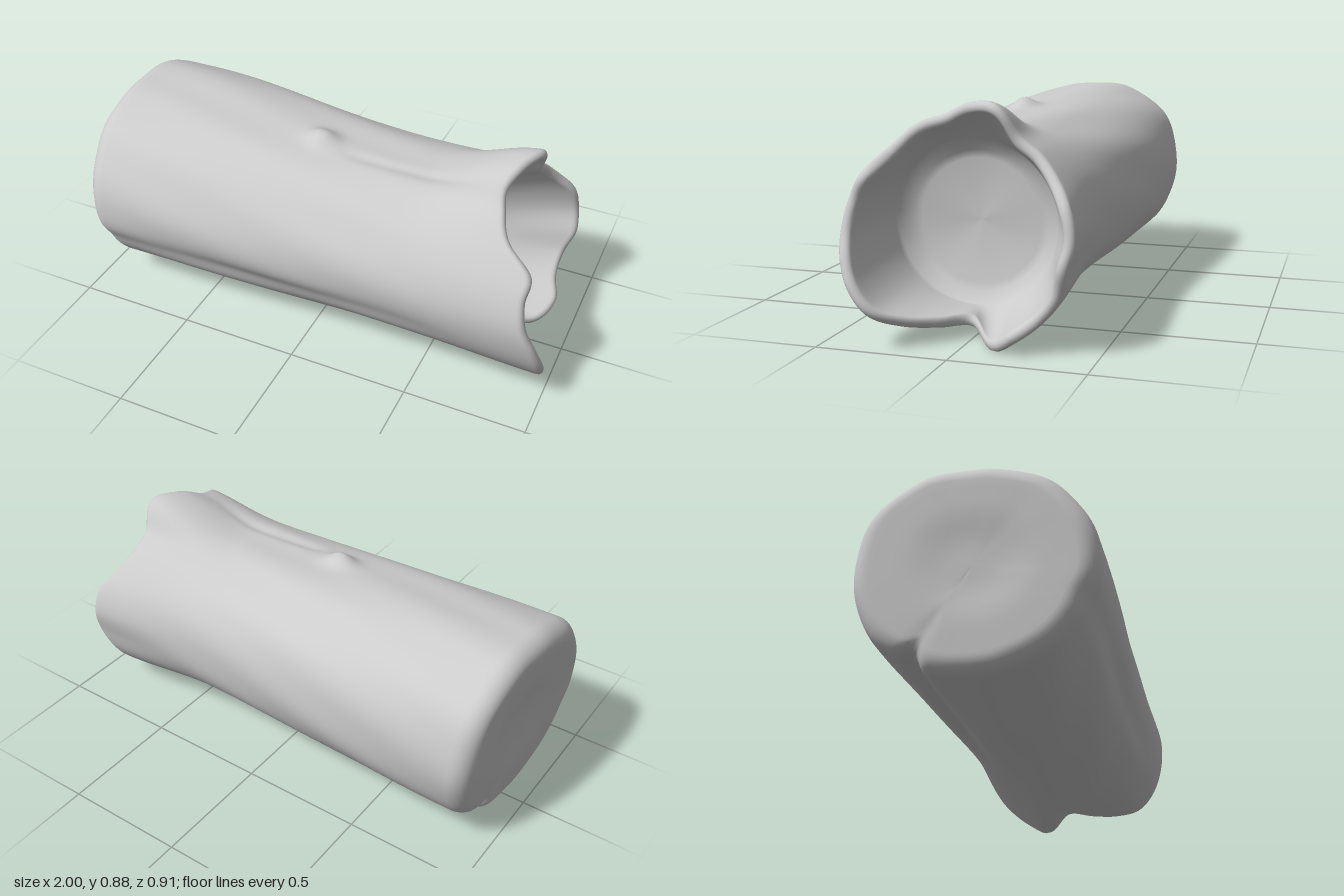
import * as THREE from 'three';

const SEG = 160;        // steps around the log
const AXIS_Y = 0.42;    // height of the log's axis

// Smooth closed curve through values spaced evenly around the log
// (angle 0 = front, quarter = top, half = back, three quarters = bottom)
function around(values) {
  const n = values.length;
  return (a) => {
    const f = (a / (Math.PI * 2)) * n, i = Math.floor(f), t = f - i;
    const [p, q, r, s] = [-1, 0, 1, 2].map((k) => values[(i + k + n) % n]);
    return q + 0.5 * t * (r - p + t * (2 * p - 5 * q + 4 * r - s + t * (3 * (q - r) + s - p)));
  };
}

// Radii of the thick closed end, the waist and the broken rim
const baseRadius = around([0.445, 0.425, 0.405, 0.395, 0.44, 0.47, 0.46, 0.44, 0.41, 0.405, 0.415, 0.44]);
const waistRadius = around([0.425, 0.40, 0.37, 0.345, 0.365, 0.39, 0.40, 0.40, 0.385, 0.385, 0.395, 0.42]);
const rimRadius = around([0.43, 0.42, 0.41, 0.41, 0.42, 0.415, 0.447, 0.46, 0.39, 0.39, 0.40, 0.42,
  0.43, 0.42, 0.43, 0.43, 0.43, 0.44, 0.38, 0.38, 0.40, 0.425, 0.43, 0.43]);

// How far the ragged rim reaches along x
const rimX = around([0.93, 0.91, 0.91, 0.80, 0.755, 0.73, 0.765, 0.81, 0.785, 0.79, 0.83, 0.89,
  0.91, 0.92, 0.885, 0.88, 0.91, 0.86, 0.74, 0.83, 0.92, 0.99, 1.0, 0.975]);

const { lerp, smoothstep } = THREE.MathUtils;
const bell = (d, width) => Math.exp(-((d / width) ** 2));

// Bark radius, with long grooves and a small knot on top
function barkRadius(x, a) {
  let r = lerp(baseRadius(a), waistRadius(a), smoothstep(x, -0.8, 0.35));
  r = lerp(r, rimRadius(a), smoothstep(x, 0.38, rimX(a)));
  const fade = 1 - smoothstep(x, 0.1, 0.8);
  r -= 0.04 * bell(a - 4.08, 0.1) * (1 - smoothstep(x, -0.9, 0.4));
  r -= 0.012 * bell(a - 5.9, 0.13) * fade;
  r += 0.004 * fade * Math.sin(9 * a + 3 * x) * Math.sin(4 * x + 2 * a);
  r += 0.04 * bell(x + 0.06, 0.06) * bell(a - 1.43, 0.13);
  r -= 0.01 * bell(a - 1.3, 0.07) * smoothstep(x, 0, 0.15) * (1 - smoothstep(x, 0.4, 0.7));
  return r;
}

// Slightly slanted closed end
const endX = (a, k) => -0.965 - k * (0.03 * Math.sin(a) + 0.015 * Math.cos(a));

// Each ring is a function of angle giving [x, y, z]
function ringFunctions() {
  const rings = [];
  const polar = (x, r, a, cy = AXIS_Y, cz = 0) => [x, Math.max(0, cy + r * Math.sin(a)), cz + r * Math.cos(a)];
  const corner = 0.075, lip = 0.045, floorX = 0.55;

  // closed end, dished slightly in the middle
  for (let i = 0; i <= 10; i++) {
    const k = i / 10;
    rings.push((a) => polar(endX(a, k) + 0.015 * (1 - smoothstep(k, 0.2, 0.7)),
      k * (barkRadius(-0.9, a) - corner), a));
  }
  // rounded corner
  for (let i = 1; i <= 8; i++) {
    const q = (i / 8) * Math.PI / 2;
    rings.push((a) => polar(endX(a, 1) + corner * (1 - Math.cos(q)),
      barkRadius(-0.9, a) - corner * (1 - Math.sin(q)), a));
  }
  // bark
  for (let i = 1; i <= 64; i++) {
    rings.push((a) => {
      const x = lerp(endX(a, 1) + corner, rimX(a) - lip / 2, i / 64);
      return polar(x, barkRadius(Math.max(x, -0.9), a), a);
    });
  }
  // rounded lip
  for (let i = 1; i <= 8; i++) {
    const q = (i / 8) * Math.PI;
    rings.push((a) => polar(rimX(a) - lip / 2 * (1 - Math.sin(q)),
      rimRadius(a) - lip / 2 * (1 - Math.cos(q)), a));
  }
  // wall of the hollow, closing in towards its floor
  for (let i = 1; i <= 14; i++) {
    const t = i / 14;
    rings.push((a) => polar(lerp(rimX(a) - lip / 2, floorX + 0.03, t),
      lerp(rimRadius(a) - lip, 0.315, t * (0.6 + 0.4 * t)), a, lerp(AXIS_Y, 0.40, t), 0.037 * t));
  }
  // floor of the hollow
  for (let i = 1; i <= 10; i++) {
    const k = 1 - i / 10;
    rings.push((a) => polar(floorX - 0.03 * (1 - k * k) + 0.006 * k * Math.sin(3 * a), 0.30 * k, a, 0.40, 0.037));
  }
  return rings;
}

// Skin the rings into one smooth surface
function skin(rings) {
  const positions = [], index = [];
  rings.forEach((ring, i) => {
    for (let j = 0; j < SEG; j++) {
      positions.push(...ring((j / SEG) * Math.PI * 2));
      if (i === rings.length - 1) continue;
      const a = i * SEG + j, c = i * SEG + (j + 1) % SEG;
      index.push(a, a + SEG, c, a + SEG, c + SEG, c);
    }
  });
  const geometry = new THREE.BufferGeometry();
  geometry.setAttribute('position', new THREE.Float32BufferAttribute(positions, 3));
  geometry.setIndex(index);
  geometry.computeVertexNormals();
  return geometry;
}

export function createModel() {
  const group = new THREE.Group();
  group.name = 'log';
  const material = new THREE.MeshStandardMaterial({ color: 0xcccccc });
  const log = new THREE.Mesh(skin(ringFunctions()), material);
  log.name = 'hollowLog';
  group.add(log);
  return group;
}
